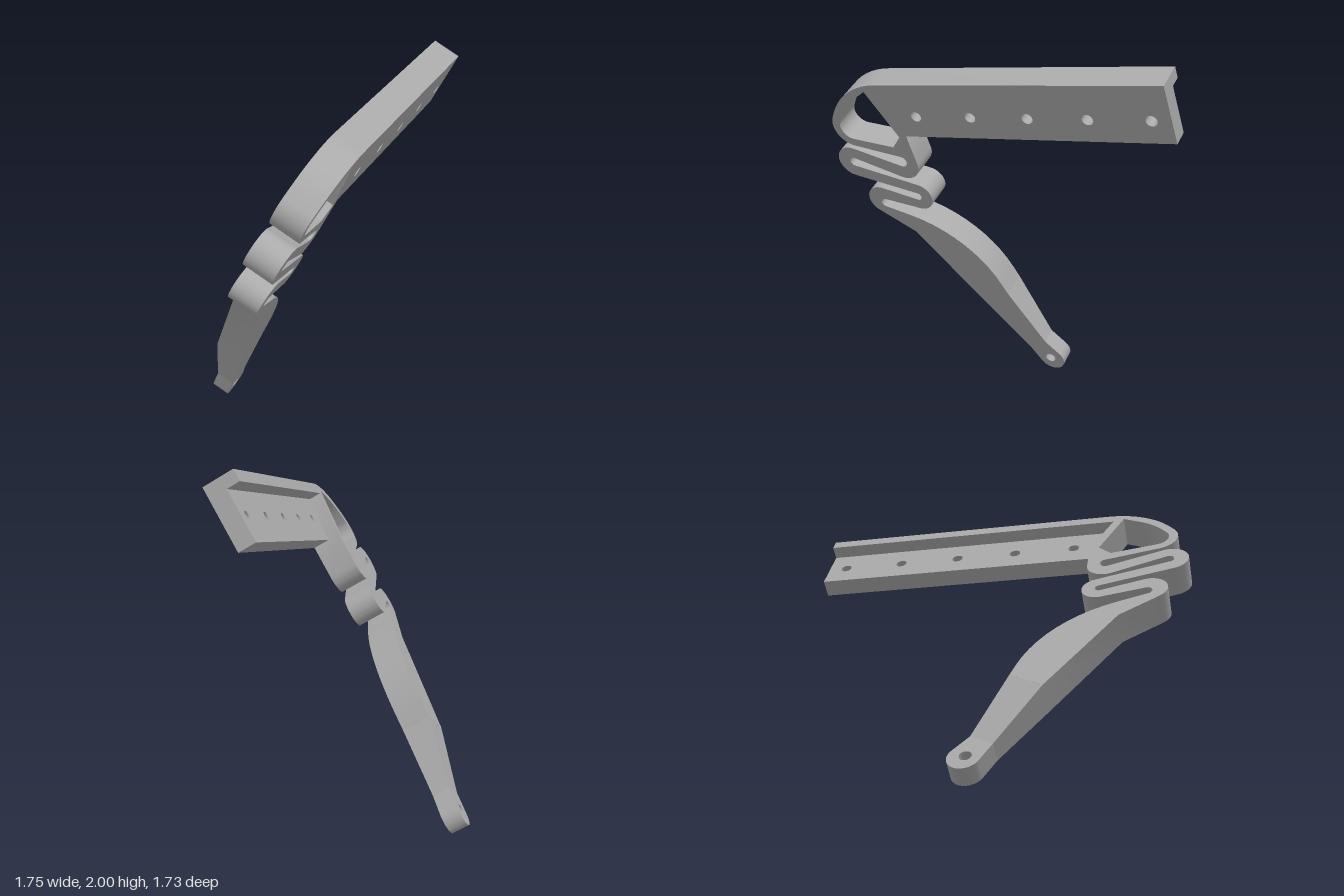
import * as THREE from 'three';
import { toCreasedNormals } from 'three/addons/utils/BufferGeometryUtils.js';

// Closed outline wrapped like a belt around circles [x, y, r]:
// r > 0 turns left, r < 0 turns right, r = 0 is a sharp corner.
function belt(circles) {
  const n = circles.length;
  const headings = circles.map(([x, y, r], i) => {
    const [x2, y2, r2] = circles[(i + 1) % n];
    const d = Math.hypot(x2 - x, y2 - y);
    const k = Math.max(-1, Math.min(1, (r - r2) / d));
    return Math.atan2(y2 - y, x2 - x) + Math.asin(k);
  });
  const points = [];
  circles.forEach(([x, y, r], i) => {
    if (r === 0) {
      points.push(new THREE.Vector2(x, y));
      return;
    }
    const start = headings[(i + n - 1) % n];
    const side = Math.sign(r);
    const full = Math.PI * 2;
    let sweep = (((headings[i] - start) * side) % full + full) % full;
    if (sweep > full - 0.5) sweep = 0;
    const steps = Math.ceil(sweep / 0.1);
    for (let j = 0; j <= steps; j++) {
      const t = start + (side * sweep * j) / Math.max(steps, 1);
      points.push(new THREE.Vector2(x + r * Math.sin(t), y - r * Math.cos(t)));
    }
  });
  return points;
}

const FRONT = -0.72;
const DEPTH = 0.17;
const FOOT_DEPTH = 0.105;
const WEB_DEPTH = 0.098;

// Plate whose front lies in the common front plane
function plate(outline, depth, holes = []) {
  const shape = new THREE.Shape(belt(outline));
  shape.holes = holes;
  const geo = new THREE.ExtrudeGeometry(shape, { depth, bevelEnabled: false });
  return geo.translate(0, 0, FRONT - depth);
}

function roundHole(x, y, r) {
  return new THREE.Path().absarc(x, y, r, 0, Math.PI * 2, true);
}

export function createModel() {
  const grey = new THREE.MeshStandardMaterial({ color: 0xaaaaaa });
  grey.name = 'grey';
  const model = new THREE.Group();
  model.name = 'springBracket';

  const add = (name, geo) => {
    const mesh = new THREE.Mesh(toCreasedNormals(geo, 0.5), grey);
    mesh.name = name;
    model.add(mesh);
  };

  // Full-depth body: bar flange, loop, folded spring and upper leg
  const loopHole = new THREE.Path(belt([
    [-0.645, 1.7, 0],
    [-0.553, 1.296, 0.4],
    [-0.838, 1.448, 0.08],
    [-0.597, 1.318, 0],
    [-0.525, 1.39, 0],
  ]));
  add('springBody', plate([
    [1.16, 1.681, 0],
    [1.16, 1.746, 0],
    [-0.553, 1.296, 0.45],   // loop
    [-0.838, 1.448, 0.13],
    [-0.58, 1.215, -0.035],  // folds, lower side
    [-0.93, 1.2, 0.105],
    [-0.565, 0.957, -0.025],
    [-0.833, 0.912, 0.1],
    [-0.688, 0.677, 0],      // leg
    [-0.362, 0.107, 0],
    [-0.185, 0.216, 0],
    [-0.93, 0.1, 0.75],
    [-0.822, 0.893, -0.03],  // folds, upper side
    [-0.56, 0.957, 0.092],
    [-0.925, 1.2, -0.03],
    [-0.58, 1.2, 0.105],
    [-0.475, 1.4, 0],        // strut at the end of the bar
    [-0.585, 1.681, 0],
  ], DEPTH, [loopHole]));

  // Thin bar web with a row of holes
  const barHoles = [];
  for (let i = 0; i < 5; i++) barHoles.push(roundHole(-0.354 + i * 0.3515, 1.537, 0.032));
  add('barWeb', plate([
    [-0.585, 1.681, 0],
    [-0.475, 1.4, 0],
    [1.16, 1.4, 0],
    [1.16, 1.681, 0],
  ], WEB_DEPTH, barHoles));

  // Lower leg, thinning from the back toward the foot
  const lower = plate([
    [-0.362, 0.107, 0],
    [-0.162, -0.238, 0],
    [-0.04, -0.176, 0],
    [-0.185, 0.216, 0],
  ], DEPTH);
  const pos = lower.attributes.position;
  for (let i = 0; i < pos.count; i++) {
    if (pos.getZ(i) > FRONT - 0.01) continue;
    const along = pos.getX(i) * 0.5 - pos.getY(i) * 0.866;
    const t = THREE.MathUtils.clamp((along + 0.278) / 0.403, 0, 1);
    pos.setZ(i, FRONT - THREE.MathUtils.lerp(DEPTH, FOOT_DEPTH, t));
  }
  add('lowerLeg', lower);

  // Rounded foot with an eyelet
  add('foot', plate([
    [-0.162, -0.238, 0],
    [-0.035, -0.325, 0.083],
    [-0.04, -0.176, 0],
  ], FOOT_DEPTH, [roundHole(-0.042, -0.318, 0.032)]));

  // Tilt the flat part into its standing pose
  const normal = new THREE.Vector3(0.688, -0.5, 0.529).normalize();
  const up = new THREE.Vector3().crossVectors(normal, new THREE.Vector3(0.63, 0.037, -0.775)).normalize();
  const along = new THREE.Vector3().crossVectors(up, normal);
  model.quaternion.setFromRotationMatrix(new THREE.Matrix4().makeBasis(along, up, normal));
  return model;
}
